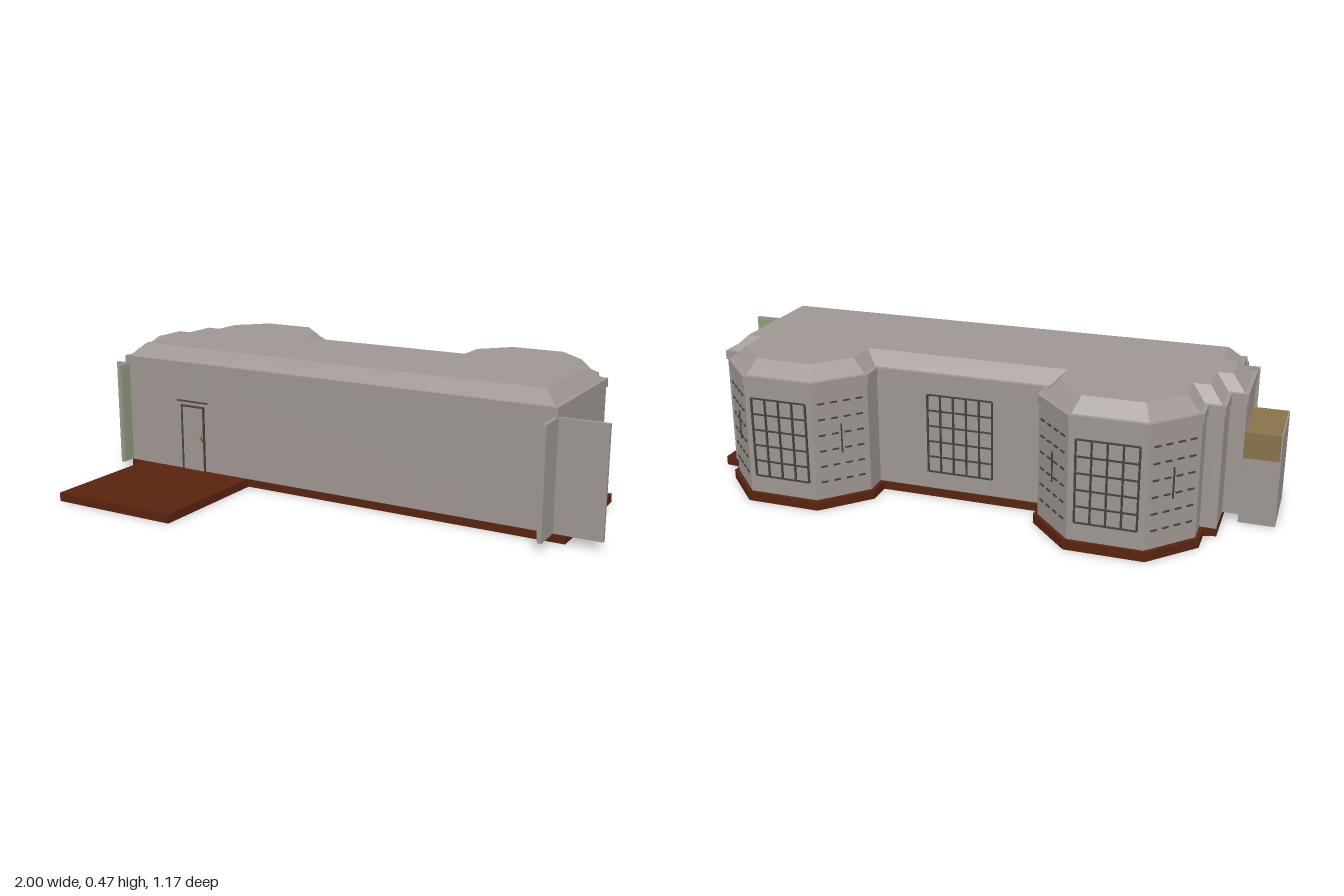
import * as THREE from 'three';

const mat = (name, color) => {
  const m = new THREE.MeshStandardMaterial({ color });
  m.name = name;
  return m;
};

export function createModel() {
  const model = new THREE.Group();
  model.name = 'house';
  const grey = mat('wall grey', 0x9e9692);
  const brown = mat('base brown', 0x58230f);
  const green = mat('inner wall green', 0x8f9b79);
  const olive = mat('box olive', 0x87734a);
  const dark = mat('frame dark', 0x45423f);
  const brass = mat('handle brass', 0x846a25);

  const add = (name, geo, material, parent = model) => {
    const mesh = new THREE.Mesh(geo, material);
    mesh.name = name;
    parent.add(mesh);
    return mesh;
  };
  // Box given by its minimum and maximum on each axis
  const box = (name, x0, x1, y0, y1, z0, z1, material, parent) => {
    const mesh = add(name, new THREE.BoxGeometry(x1 - x0, y1 - y0, z1 - z0), material, parent);
    mesh.position.set((x0 + x1) / 2, (y0 + y1) / 2, (z0 + z1) / 2);
    return mesh;
  };

  // Plans are counter-clockwise pairs of x and -z
  const bay = (cx, g = 0) => [
    [cx + 0.248 + g, 0.365], [cx + 0.248 + g, 0.44 + g / 2], [cx + 0.118 + g / 2, 0.575 + g],
    [cx - 0.118 - g / 2, 0.575 + g], [cx - 0.248 - g, 0.44 + g / 2], [cx - 0.248 - g, 0.365],
  ];
  const bayX = [0.532, -0.535];
  const plan = [
    [-0.835, -0.13], [0.835, -0.13], [0.835, 0.365],
    ...bay(bayX[0]), ...bay(bayX[1]),
    [-0.835, 0.365], [-0.835, 0.24], [-0.885, 0.24], [-0.885, 0.005], [-0.835, 0.005],
  ];
  const basePlan = [
    [-0.835, -0.125], [0.88, -0.125], [0.88, 0.355],
    ...bay(bayX[0], 0.013), ...bay(bayX[1], 0.013), [-0.835, 0.355],
  ];
  const inset = (pts, d) => pts.map((p, i) => {
    const n = pts.length;
    const normal = (a, b) => new THREE.Vector2(a[1] - b[1], b[0] - a[0]).normalize();
    const n1 = normal(pts[(i + n - 1) % n], p), n2 = normal(p, pts[(i + 1) % n]);
    const k = d / (1 + n1.dot(n2));
    return [p[0] + (n1.x + n2.x) * k, p[1] + (n1.y + n2.y) * k];
  });
  const shapeOf = pts => new THREE.Shape(pts.map(p => new THREE.Vector2(...p)));
  const slab = (name, pts, y0, y1, material) => {
    const geo = new THREE.ExtrudeGeometry(shapeOf(pts), { depth: y1 - y0, bevelEnabled: false });
    add(name, geo.rotateX(-Math.PI / 2).translate(0, y0, 0), material);
  };

  // Base, porch, walls and cornice
  slab('base', basePlan, 0, 0.03, brown);
  box('porch', -0.77, -0.3, 0, 0.03, 0.125, 0.585, brown);
  slab('walls', plan, 0.03, 0.43, grey);
  slab('cornice', inset(plan, -0.004), 0.4, 0.43, grey);

  // Sloping roof with a flat top
  const low = inset(plan, 0.01), high = inset(plan, 0.053), slopes = [];
  low.forEach((a, i) => {
    const j = (i + 1) % low.length;
    const v = (p, y) => [p[0], y, -p[1]];
    const A = v(a, 0.43), B = v(low[j], 0.43), C = v(high[j], 0.474), D = v(high[i], 0.474);
    slopes.push(...A, ...B, ...C, ...A, ...C, ...D);
  });
  const slopeGeo = new THREE.BufferGeometry();
  slopeGeo.setAttribute('position', new THREE.Float32BufferAttribute(slopes, 3));
  slopeGeo.computeVertexNormals();
  add('roofSlopes', slopeGeo, grey);
  add('roofTop', new THREE.ShapeGeometry(shapeOf(high)).rotateX(-Math.PI / 2).translate(0, 0.474, 0), grey);

  // Wall ends running past the corners, green on their inner faces
  box('frontWallEndLeft', 0.835, 1, 0.03, 0.4, 0.117, 0.13, grey);
  box('frontWallEndLeftInner', 0.846, 0.994, 0.036, 0.394, 0.113, 0.117, green);
  box('frontWallEndRight', -0.885, -0.835, 0.03, 0.4, 0.117, 0.13, grey);
  box('frontWallEndRightInner', -0.88, -0.846, 0.036, 0.394, 0.113, 0.117, green);
  box('sideWallEndLeft', 0.828, 0.841, 0.03, 0.4, 0.12, 0.235, grey);
  box('sideWallEndLeftInner', 0.824, 0.828, 0.036, 0.394, 0.13, 0.23, green);
  box('sideWallEndRight', -0.841, -0.828, 0.03, 0.4, 0.12, 0.18, grey);
  box('sideWallEndRightInner', -0.828, -0.824, 0.036, 0.394, 0.13, 0.175, green);

  // Outside box on the right wall, olive over its upper part
  box('sideBoxLower', -0.996, -0.885, 0, 0.22, -0.235, -0.002, grey);
  box('sideBoxUpper', -0.996, -0.885, 0.22, 0.305, -0.235, -0.002, olive);
  box('sideBoxFace', -1, -0.996, 0, 0.305, -0.235, -0.002, grey);

  // Doors are built facing +z with the wall at z = 0
  const door = (name, x, z, turn) => {
    const g = new THREE.Group();
    g.name = name;
    box('doorPanel', -0.046, 0.046, 0.03, 0.266, 0, 0.003, grey, g);
    for (const s of [-1, 1]) box('doorJamb', s * 0.048 - 0.003, s * 0.048 + 0.003, 0.03, 0.272, 0, 0.006, dark, g);
    box('doorHead', -0.051, 0.051, 0.266, 0.272, 0, 0.006, dark, g);
    box('doorLintel', -0.067, 0.067, 0.285, 0.289, 0, 0.008, dark, g);
    box('handlePlate', 0.036, 0.042, 0.14, 0.164, 0, 0.006, brass, g);
    box('handle', 0.034, 0.044, 0.152, 0.159, 0.006, 0.012, brass, g);
    g.position.set(x, 0, z);
    g.rotation.y = turn;
    model.add(g);
    return g;
  };
  door('frontDoor', -0.535, 0.13, 0);
  const side = door('sideDoor', 0.835, 0, Math.PI / 2);
  side.children.filter(c => c.name.startsWith('handle')).forEach(c => { c.position.x *= -1; });

  // Windows sit on a wall given by two plan corners
  const windowOn = (name, a, b, width, cols, rows, dashed) => {
    const g = new THREE.Group();
    g.name = name;
    const w = width / 2, y0 = 0.09, y1 = 0.357;
    for (let r = 0; r <= rows; r++) {
      const y = y0 + (y1 - y0) * r / rows;
      if (!dashed) box('windowBar', -w, w, y - 0.0025, y + 0.0025, 0, 0.004, dark, g);
      else for (let c = 0; c < cols; c++) {
        const x = -w + width * (c + 0.5) / cols;
        box('windowDash', x - 0.011, x + 0.011, y - 0.0025, y + 0.0025, 0, 0.004, dark, g);
      }
    }
    if (!dashed) for (let c = 0; c <= cols; c++) {
      const x = -w + width * c / cols;
      box('windowPost', x - 0.003, x + 0.003, y0, y1, 0, 0.005, dark, g);
    }
    else box('windowPost', -0.002, 0.002, 0.18, 0.28, 0, 0.004, dark, g);
    g.position.set((a[0] + b[0]) / 2, 0, -(a[1] + b[1]) / 2);
    g.rotation.y = Math.atan2(b[1] - a[1], b[0] - a[0]) + 0;
    model.add(g);
  };
  windowOn('backWindow', [0.284, 0.365], [-0.287, 0.365], 0.22, 5, 5, false);
  for (const cx of bayX) {
    const p = bay(cx);
    windowOn('bayWindowLeft', p[1], p[2], 0.17, 4, 5, true);
    windowOn('bayWindowMiddle', p[2], p[3], 0.19, 4, 5, false);
    windowOn('bayWindowRight', p[3], p[4], 0.17, 4, 5, true);
  }
  return model;
}
